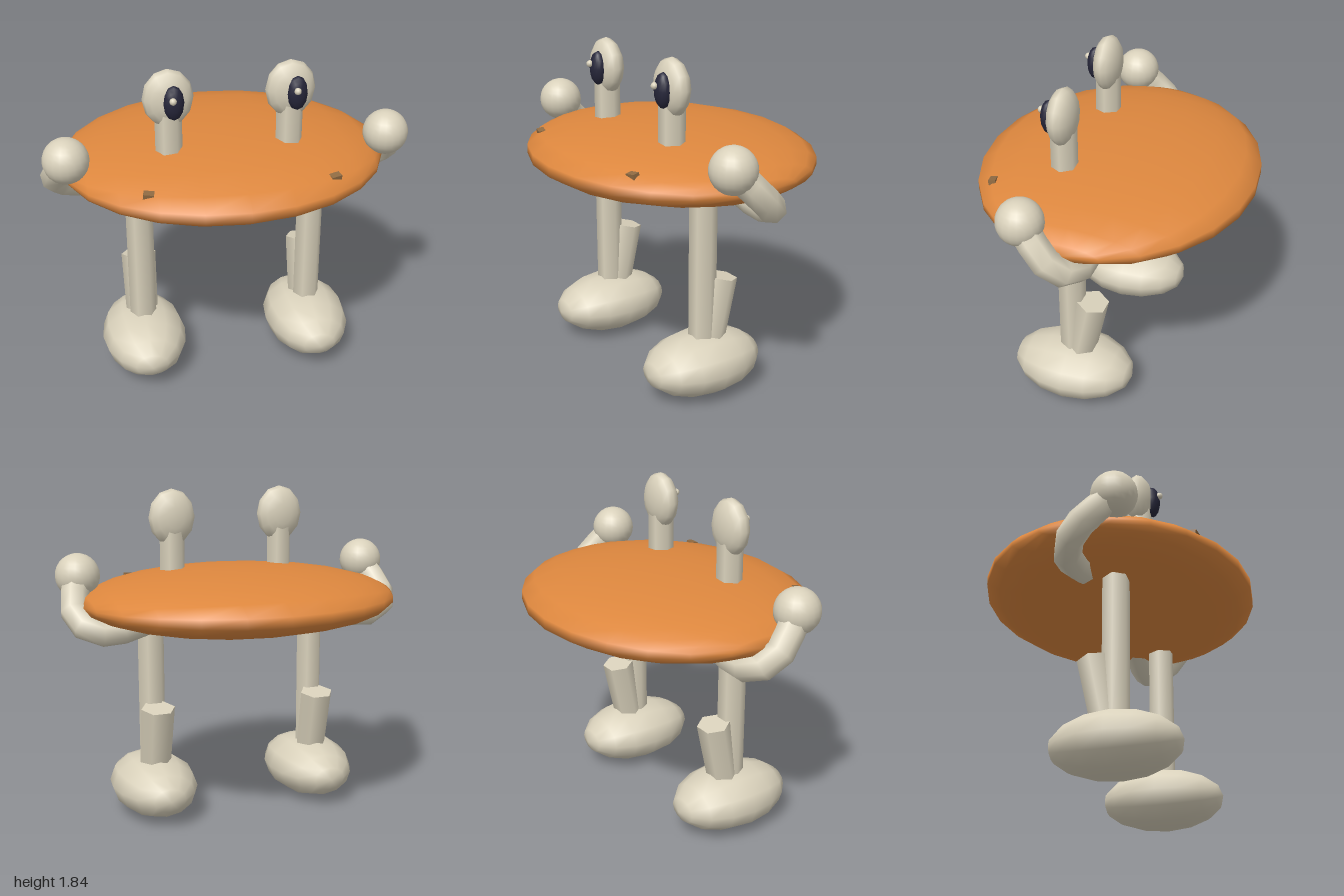
import * as THREE from 'three';

const flat = (name, color) => {
  const m = new THREE.MeshStandardMaterial({ color });
  m.name = name;
  return m;
};

export function createModel() {
  const cream = flat('cream', 0xd9d1bb);
  const orange = flat('orange', 0xdd873e);
  const dark = flat('dark navy', 0x26263a);
  const brown = flat('brown', 0x8f6a42);
  const model = new THREE.Group();

  const add = (name, geometry, material, x, y, z) => {
    const mesh = new THREE.Mesh(geometry, material);
    mesh.name = name;
    mesh.position.set(x, y, z);
    model.add(mesh);
    return mesh;
  };

  // Ellipsoid whose poles lie along the z axis
  const ellipsoid = (rx, ry, rz, w = 12, h = 8) =>
    new THREE.SphereGeometry(1, w, h).rotateX(Math.PI / 2).scale(rx, ry, rz);

  // Six-sided post with corners facing left and right
  const post = (rTop, rBottom, height) =>
    new THREE.CylinderGeometry(rTop, rBottom, height, 6).rotateY(Math.PI / 6);

  // Wide flattened shell, poles along x
  const shell = new THREE.SphereGeometry(1, 18, 12).rotateZ(Math.PI / 2).scale(0.89, 0.172, 0.765);
  add('shell', shell, orange, 0, 1.245, 0);

  for (const side of [1, -1]) {
    const label = side > 0 ? 'left' : 'right';

    // Legs, heels and feet
    add(label + 'Leg', post(0.075, 0.075, 0.9), cream, side * 0.485, 0.72, 0.11);
    const heel = add(label + 'Heel', post(0.0975, 0.09, 0.42).scale(1, 1, 0.91), cream, side * 0.485, 0.445, 0.031);
    heel.rotation.x = -0.2;
    add(label + 'Foot', ellipsoid(0.24, 0.172, 0.35), cream, side * 0.485, 0.174, 0.11);

    // Eyes on stalks, both looking slightly the same way
    const ex = side * 0.324;
    add(label + 'EyeStalk', post(0.072, 0.072, 0.3), cream, ex, 1.48, 0.2);
    add(label + 'Eye', ellipsoid(0.135, 0.158, 0.077), cream, ex, 1.684, 0.2);
    add(label + 'Pupil', ellipsoid(0.055, 0.095, 0.045), dark, ex + 0.02, 1.68, 0.267);
    add(label + 'EyeGlint', new THREE.SphereGeometry(0.019, 10, 8), cream, ex + 0.01, 1.708, 0.314);

    // Bent arm ending in a round fist
    const path = new THREE.CatmullRomCurve3([
      [0.48, 1.19, -0.05], [0.7, 1.122, -0.06], [0.85, 1.128, -0.045],
      [0.922, 1.21, 0.05], [0.87, 1.37, 0.2],
    ].map(([x, y, z]) => new THREE.Vector3(side * x, y, z)));
    add(label + 'Arm', new THREE.TubeGeometry(path, 7, 0.078, 7), cream, 0, 0, 0);
    add(label + 'Fist', new THREE.SphereGeometry(0.123, 20, 14), cream, side * 0.865, 1.385, 0.21);

    // Small bump at the front edge of the shell
    const bump = add(label + 'Bump', new THREE.BoxGeometry(0.055, 0.032, 0.04), brown, side * 0.485, 1.314, 0.541);
    bump.rotation.set(0.15, side * 0.2, side * 0.08);
  }
  return model;
}
